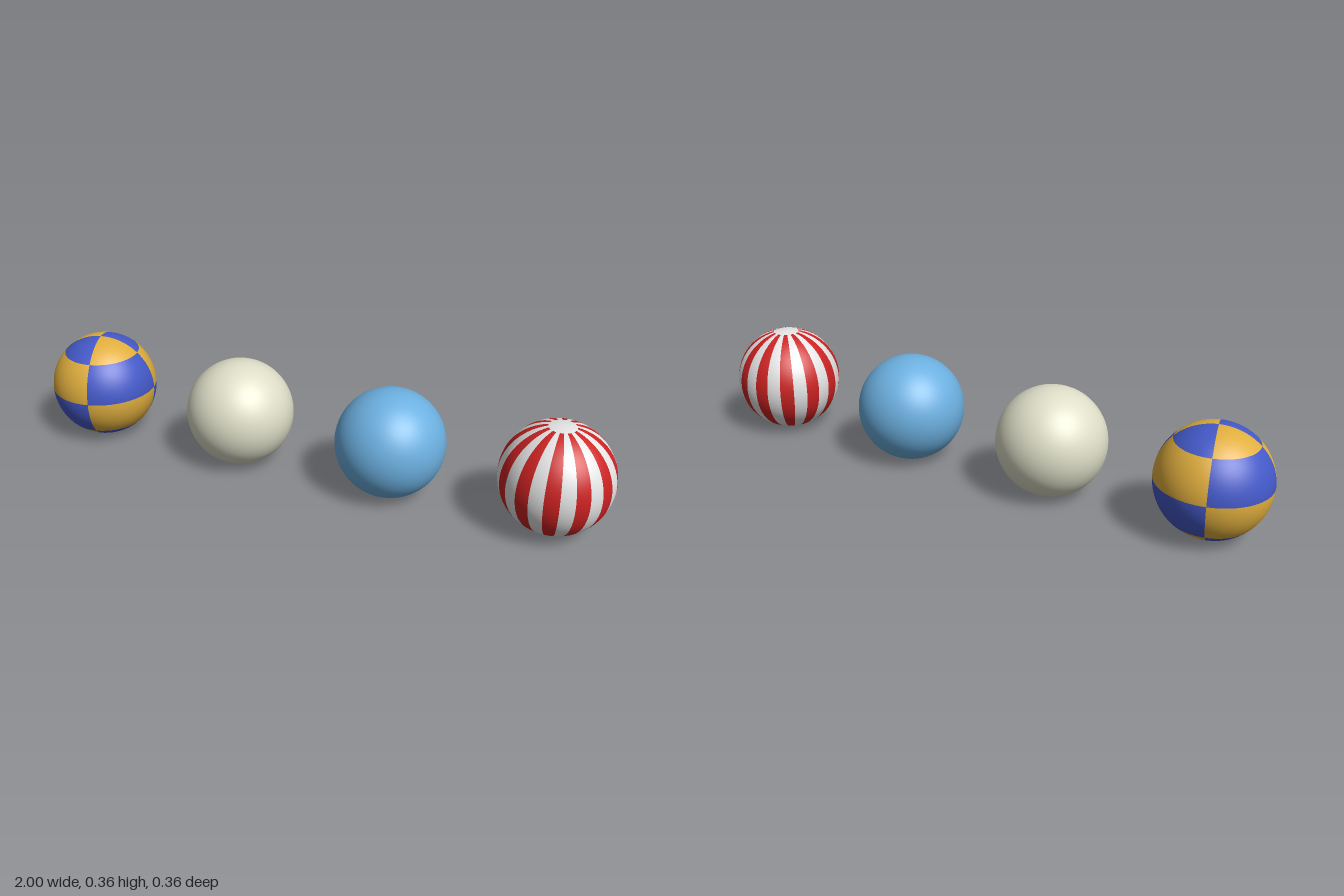
import * as THREE from 'three';

const R = 0.182;
const SPACING = 0.5453;
const rad = THREE.MathUtils.degToRad;

function material(name, color) {
  const m = new THREE.MeshStandardMaterial({ color });
  m.name = name;
  return m;
}

// Part of a ball's skin, all angles in degrees
function patch(name, mat, phi, phiLength, theta, thetaLength) {
  const geometry = new THREE.SphereGeometry(
    R, Math.max(2, Math.round(phiLength / 5)), Math.max(2, Math.round(thetaLength / 5)),
    rad(phi), rad(phiLength), rad(theta), rad(thetaLength));
  const mesh = new THREE.Mesh(geometry, mat);
  mesh.name = name;
  return mesh;
}

export function createModel() {
  const yellow = material('golden yellow', 0xe0ae3e);
  const blue = material('royal blue', 0x4459c8);
  const cream = material('cream', 0xdedec8);
  const sky = material('sky blue', 0x6cb0e0);
  const red = material('red', 0xcc2222);
  const white = material('white', 0xe4e4e4);

  const model = new THREE.Group();
  model.name = 'rowOfBalls';

  function ball(name, index) {
    const group = new THREE.Group();
    group.name = name;
    group.position.set((index - 1.5) * SPACING, R, 0);
    model.add(group);
    return group;
  }

  // Checkered ball: four bands by four sectors
  const checkered = ball('checkeredBall', 0);
  for (let sector = 0; sector < 4; sector++) {
    for (let band = 0; band < 4; band++) {
      const mat = (sector + band) % 2 === 0 ? blue : yellow;
      checkered.add(patch('checkerPanel', mat, 13.5 + sector * 90, 90, band * 45, 45));
    }
  }

  // Two plain balls
  ball('creamBall', 1).add(patch('creamSurface', cream, 0, 360, 0, 180));
  ball('skyBlueBall', 2).add(patch('skyBlueSurface', sky, 0, 360, 0, 180));

  // Striped ball: twelve red and twelve white stripes between white caps
  const striped = ball('stripedBall', 3);
  const cap = 14;
  for (let i = 0; i < 24; i++) {
    const mat = i % 2 === 0 ? red : white;
    striped.add(patch('stripe', mat, i * 15, 15, cap, 180 - 2 * cap));
  }
  striped.add(patch('topCap', white, 0, 360, 0, cap));
  striped.add(patch('bottomCap', white, 0, 360, 180 - cap, cap));

  return model;
}
